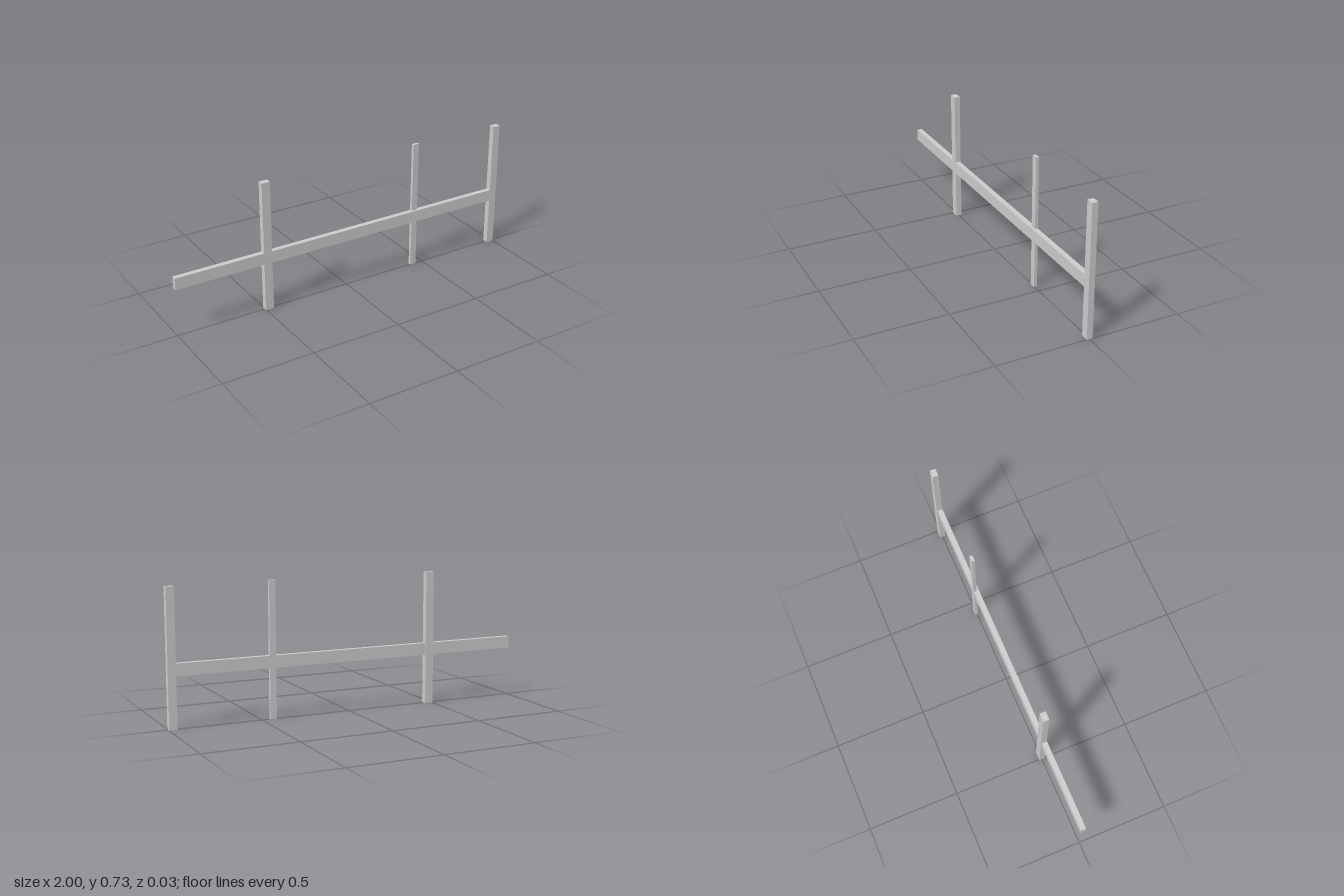
import * as THREE from 'three';

const material = new THREE.MeshStandardMaterial({ color: 0xcccccc, flatShading: true });

// Box given by its extents along each axis
function beam(name, [x0, x1], [y0, y1], [z0, z1]) {
  const mesh = new THREE.Mesh(new THREE.BoxGeometry(x1 - x0, y1 - y0, z1 - z0), material);
  mesh.position.set((x0 + x1) / 2, (y0 + y1) / 2, (z0 + z1) / 2);
  mesh.name = name;
  return mesh;
}

export function createModel() {
  const group = new THREE.Group();
  group.name = 'railFence';

  // Horizontal rail, ending at the end post
  group.add(beam('rail', [-1, 0.958], [0.27, 0.335], [-0.011, 0.017]));

  // Upright posts; the middle one is slimmer
  group.add(beam('rightPost', [-0.504, -0.457], [0, 0.725], [-0.016, 0.016]));
  group.add(beam('middlePost', [0.422, 0.457], [0, 0.725], [-0.0125, 0.0045]));
  group.add(beam('endPost', [0.957, 1], [0, 0.72], [-0.016, 0.016]));

  return group;
}
